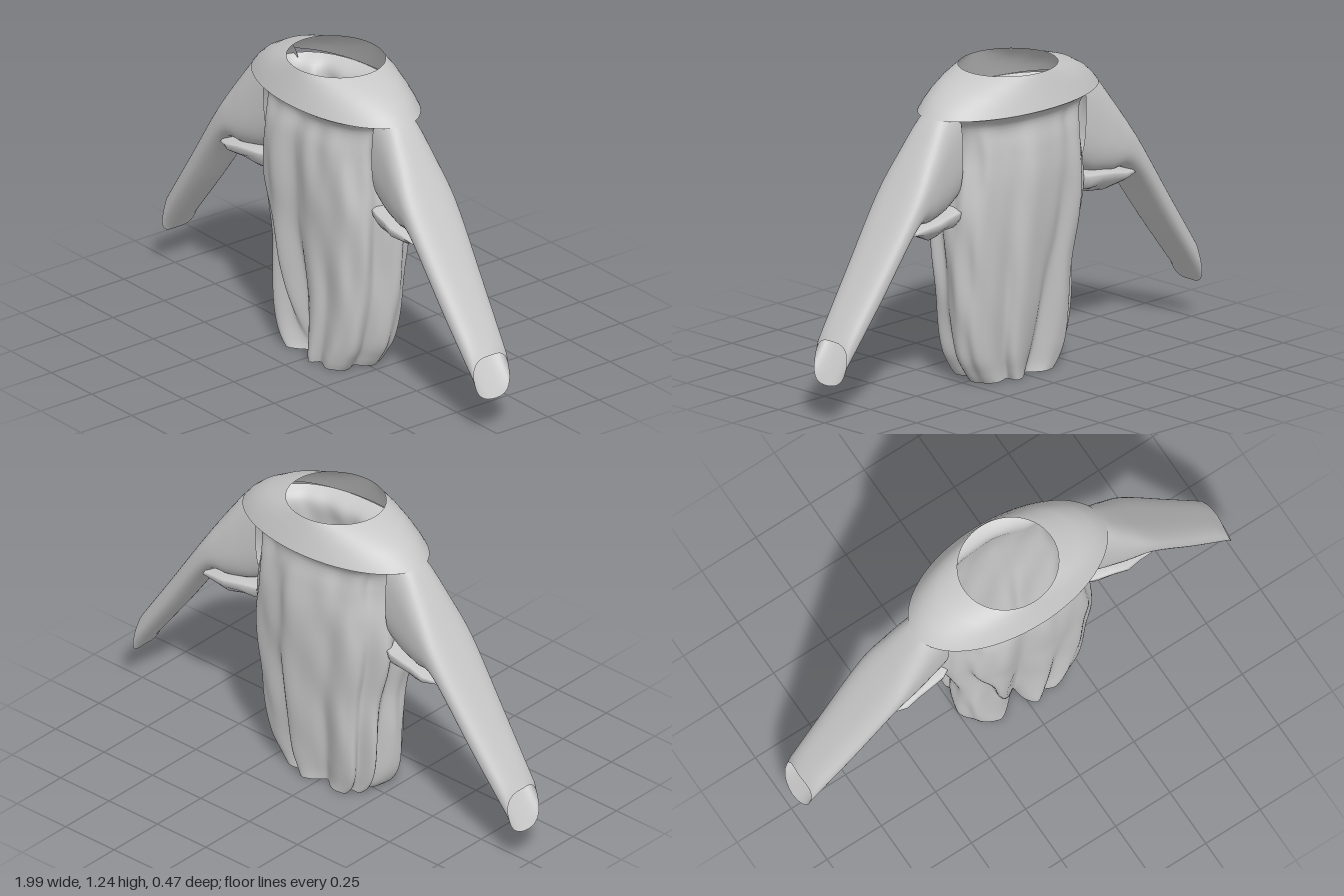
import * as THREE from 'three';

const cloth = new THREE.MeshStandardMaterial({ color: 0xc8c8c8, side: THREE.DoubleSide });
cloth.name = 'grey cloth';

// Skin a list of closed cross-sections into one smooth open tube
function loft(name, rings) {
  const n = rings[0].length, pos = [], idx = [];
  rings.forEach(r => r.forEach(p => pos.push(...p)));
  for (let i = 0; i < rings.length - 1; i++) {
    for (let j = 0; j < n; j++) {
      const a = i * n + j, b = i * n + (j + 1) % n;
      idx.push(a, b, a + n, b, b + n, a + n);
    }
  }
  const g = new THREE.BufferGeometry();
  g.setAttribute('position', new THREE.Float32BufferAttribute(pos, 3));
  g.setIndex(idx);
  g.computeVertexNormals();
  const mesh = new THREE.Mesh(g, cloth);
  mesh.name = name;
  return mesh;
}

const ring = (n, f) => Array.from({ length: n }, (_, j) => f(j / n * Math.PI * 2));
const spow = (v, e) => Math.sign(v) * Math.abs(v) ** e;

// Interpolate smoothly between rows of numbers
function rowsAt(rows, t) {
  const f = t * (rows.length - 1), i = Math.min(Math.floor(f), rows.length - 2), u = f - i;
  const at = k => rows[Math.max(0, Math.min(rows.length - 1, k))];
  return rows[0].map((_, c) => {
    const [a, b, d, e] = [at(i - 1)[c], at(i)[c], at(i + 1)[c], at(i + 2)[c]];
    return b + 0.5 * u * (d - a + u * (2 * a - 5 * b + 4 * d - e + u * (3 * (b - d) + e - a)));
  });
}

// Shoulder yoke: half-width, y, half-depth
function makeYoke() {
  const rows = [[0.2, 1.235, 0.185], [0.3, 1.205, 0.197], [0.37, 1.165, 0.211], [0.41, 1.13, 0.224], [0.435, 1.1, 0.235]];
  return loft('yoke', rows.map(([rx, y, rz]) =>
    ring(72, a => [rx * Math.cos(a), y, rz * Math.sin(a)])));
}

// Folds: angle at top and hem, depth at top and hem, angular width
const folds = [
  [1.6, 1.75, 0.14, 0.62, 0.2], [2.75, 2.0, 0.05, 0.35, 0.16], [1.2, 1.2, 0.07, 0.25, 0.2],
  [-1.15, -1.0, 0.08, 0.3, 0.2], [-1.95, -1.7, 0.06, 0.45, 0.24], [-2.6, -2.5, 0.1, 0.2, 0.15],
  [0.1, 0.25, 0.06, 0.2, 0.16], [3.1, 3.3, 0.05, 0.25, 0.16],
];

// Draped body: y, right and left half-width, front and back depth
function makeBody() {
  const rows = [
    [1.1, 0.37, 0.38, 0.232, 0.232], [1.05, 0.34, 0.335, 0.185, 0.185], [0.95, 0.33, 0.32, 0.205, 0.2],
    [0.84, 0.345, 0.33, 0.212, 0.21], [0.72, 0.35, 0.345, 0.21, 0.208], [0.6, 0.33, 0.345, 0.202, 0.202],
    [0.45, 0.295, 0.335, 0.195, 0.19], [0.28, 0.29, 0.32, 0.185, 0.175], [0.12, 0.275, 0.285, 0.185, 0.155],
    [0.04, 0.245, 0.24, 0.185, 0.14], [0, 0.205, 0.21, 0.18, 0.135],
  ];
  const rings = [];
  for (let k = 0; k <= 50; k++) {
    const [y, xr, xl, zf, zb] = rowsAt(rows, k / 50);
    const t = 1 - y / 1.1, grow = Math.min(1, t * 14);
    rings.push(ring(160, a => {
      let dip = 0;
      for (const [a0, a1, d0, d1, w] of folds) {
        const d = a - (a0 + (a1 - a0) * t);
        const wrapped = Math.atan2(Math.sin(d), Math.cos(d));
        dip += (d0 + (d1 - d0) * t ** 2.2) * Math.exp(-((wrapped / w) ** 2));
      }
      const pucker = 0.012 * Math.sin(17 * a + 5 * y) + 0.012 * Math.sin(11 * a - 13 * y);
      const s = 1 - grow * (Math.min(dip, 0.75) + pucker);
      const c = spow(Math.cos(a), 0.85), q = spow(Math.sin(a), 0.85);
      return [s * c * (c < 0 ? xr : xl), Math.max(0, y), s * q * (q > 0 ? zf : zb)];
    }));
  }
  return loft('drapedBody', rings);
}

// Sleeve: upper edge x, y, lower edge x, y, half-depth
function makeSleeve(side) {
  const rows = [
    [0.34, 1.17, 0.33, 0.76, 0.09], [0.42, 1.115, 0.4, 0.72, 0.1], [0.5, 1.01, 0.49, 0.7, 0.113],
    [0.6, 0.86, 0.6, 0.68, 0.121], [0.78, 0.59, 0.8, 0.41, 0.106], [0.965, 0.32, 0.995, 0.15, 0.086],
  ];
  const rings = [];
  for (let k = 0; k <= 25; k++) {
    const [ux, uy, lx, ly, w] = rowsAt(rows, k / 25);
    rings.push(ring(40, a => {
      const v = (1 + spow(Math.sin(a), 0.8)) / 2;
      const cuff = k === 25 ? -0.012 * Math.abs(Math.cos(a)) : 0;
      return [side * (lx + (ux - lx) * v + cuff), ly + (uy - ly) * v, w * spow(Math.cos(a), 0.7)];
    }));
  }
  return loft(side > 0 ? 'leftSleeve' : 'rightSleeve', rings);
}

// Crumpled gusset under the arm: x, y, drop, half-depth
function makeGusset(side) {
  const rows = [[0.31, 0.72, 0.05, 0.07], [0.36, 0.715, 0.07, 0.09], [0.42, 0.71, 0.075, 0.105],
    [0.48, 0.705, 0.07, 0.11], [0.54, 0.695, 0.045, 0.11], [0.6, 0.685, 0.005, 0.1]];
  const rings = rows.map(([x, y, drop, w], i) => ring(16, a => [
    side * x,
    y + (Math.sin(a) < 0 ? drop : 0.015) * Math.sin(a) * (1 + 0.15 * Math.cos(3 * a + i * 2)),
    w * Math.cos(a) * (1 + 0.06 * Math.sin(i * 2.3 + side)),
  ]));
  return loft(side > 0 ? 'leftGusset' : 'rightGusset', rings);
}

export function createModel() {
  const model = new THREE.Group();
  model.name = 'garment';
  model.add(makeYoke(), makeBody());
  for (const side of [1, -1]) model.add(makeSleeve(side), makeGusset(side));
  return model;
}
